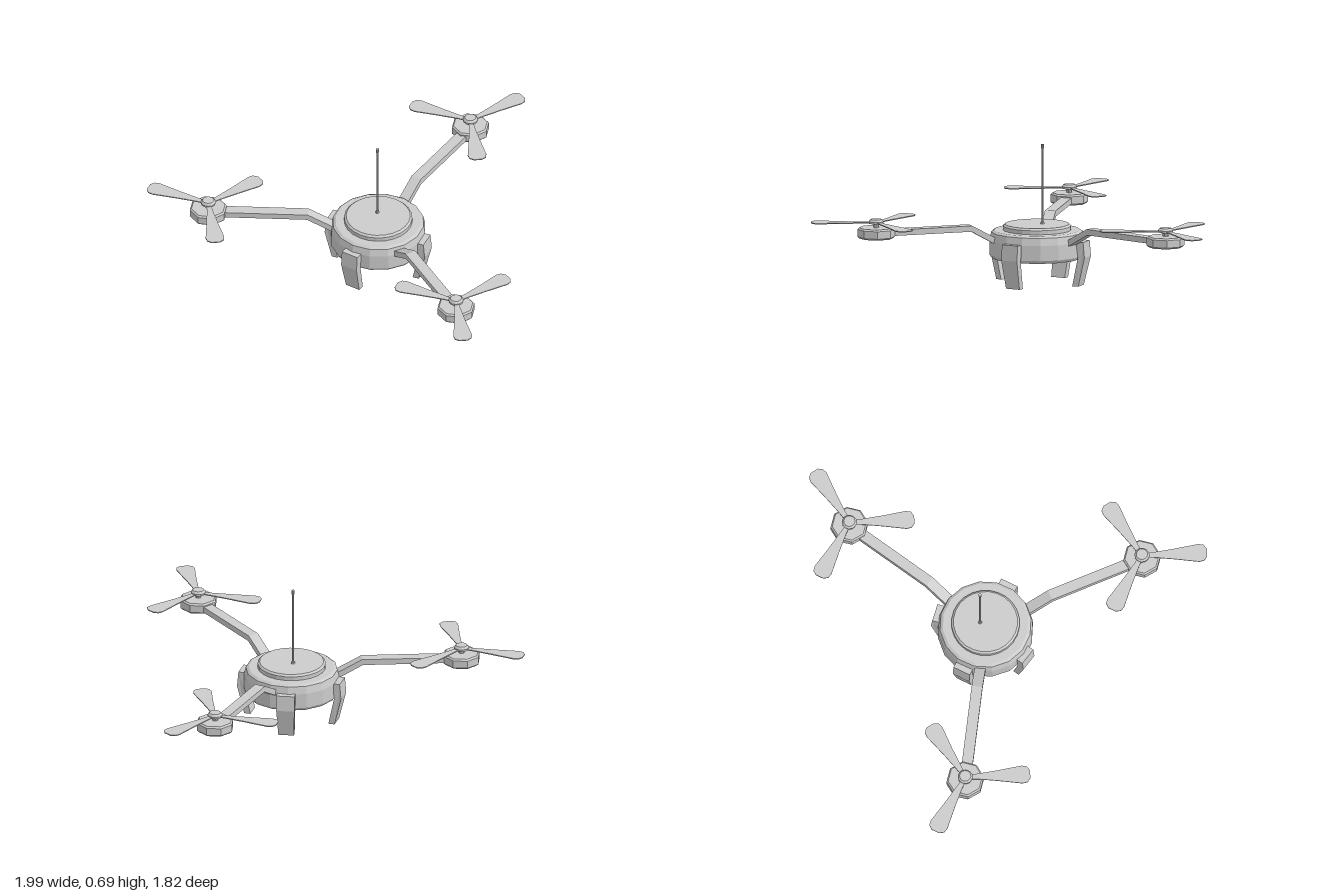
import * as THREE from 'three';

const material = new THREE.MeshStandardMaterial({ color: 0xcccccc, flatShading: true });
const rad = THREE.MathUtils.degToRad;

function part(name, geometry, parent) {
  const mesh = new THREE.Mesh(geometry, material);
  mesh.name = name;
  parent.add(mesh);
  return mesh;
}

// Turned solid from [radius, height] pairs, bottom to top
function turned(points, sides) {
  return new THREE.LatheGeometry(points.map(([r, y]) => new THREE.Vector2(r, y)), sides);
}

// Side profile of [distance outwards, height] pairs, given a width and pointing along +z
function strut(points, width) {
  const shape = new THREE.Shape(points.map(([r, y]) => new THREE.Vector2(r, y)));
  return new THREE.ExtrudeGeometry(shape, { depth: width, bevelEnabled: false })
    .translate(0, 0, -width / 2)
    .rotateY(-Math.PI / 2);
}

// Flat paddle blade pointing along +x, narrow at the hub and wide at the tip
function bladeGeometry() {
  const half = [[0, 0.01], [0.06, 0.014], [0.16, 0.027], [0.28, 0.046], [0.305, 0.041], [0.32, 0.02]];
  const outline = [...half, ...half.map(([x, y]) => [x, -y]).reverse()];
  const shape = new THREE.Shape(outline.map(([x, y]) => new THREE.Vector2(x, y)));
  return new THREE.ExtrudeGeometry(shape, { depth: 0.005, bevelEnabled: false })
    .rotateX(-Math.PI / 2);
}

// Leg that narrows towards the foot
function legGeometry() {
  const leg = strut([[0.2, 0], [0.232, 0], [0.267, 0.145], [0.26, 0.222], [0.222, 0.222], [0.232, 0.145]], 0.09);
  const p = leg.attributes.position;
  for (let i = 0; i < p.count; i++) {
    p.setX(i, p.getX(i) * (0.86 + 0.14 * Math.min(1, p.getY(i) / 0.145)));
  }
  return leg;
}

function createRotor(blade) {
  const rotor = new THREE.Group();
  rotor.name = 'rotor';
  part('motor', turned([[0, 0.267], [0.085, 0.267], [0.093, 0.275], [0.093, 0.312], [0.085, 0.32], [0, 0.32]], 8), rotor);
  part('shaft', new THREE.CylinderGeometry(0.014, 0.014, 0.03, 10).translate(0, 0.33, 0), rotor);
  part('hubCap', turned([[0, 0.34], [0.036, 0.34], [0.037, 0.35], [0.028, 0.361], [0, 0.361]], 12), rotor);
  for (let i = 0; i < 3; i++) {
    const mesh = part('blade', blade, rotor);
    mesh.position.y = 0.341;
    mesh.rotation.y = rad(69.5 + 120 * i);
  }
  return rotor;
}

export function createModel() {
  const model = new THREE.Group();
  model.name = 'tricopter';
  // Everything is laid out around the body axis
  const frame = new THREE.Group();
  frame.name = 'frame';
  frame.position.set(0.045, 0, 0.227);
  model.add(frame);

  // Body and lid
  part('body', turned([[0, 0.13], [0.225, 0.13], [0.235, 0.145], [0.235, 0.22], [0.226, 0.257], [0.212, 0.266], [0, 0.266]], 16), frame);
  part('lid', turned([[0.168, 0.26], [0.168, 0.286], [0.158, 0.295], [0, 0.295]], 24), frame);

  // Antenna with a small base and tip
  const antenna = new THREE.Group();
  antenna.name = 'antenna';
  antenna.position.set(-0.018, 0, -0.02);
  frame.add(antenna);
  part('antennaBase', new THREE.CylinderGeometry(0.008, 0.01, 0.012, 8).translate(0, 0.3, 0), antenna);
  part('antennaRod', new THREE.CylinderGeometry(0.005, 0.005, 0.385, 8).translate(0, 0.4825, 0), antenna);
  part('antennaTip', new THREE.CylinderGeometry(0.008, 0.008, 0.02, 8).translate(0, 0.68, 0), antenna);

  // Three cranked arms, each carrying a rotor
  const arm = strut([[0.2, 0.192], [0.24, 0.215], [0.35, 0.277], [0.8, 0.277], [0.8, 0.306], [0.345, 0.306], [0.24, 0.248], [0.2, 0.226]], 0.054);
  const blade = bladeGeometry();
  for (const angle of [60, 180, 300].map(rad)) {
    part('arm', arm, frame).rotation.y = angle;
    const rotor = createRotor(blade);
    rotor.position.set(Math.sin(angle) * 0.837, 0, Math.cos(angle) * 0.837);
    frame.add(rotor);
  }

  // Four legs around the body
  const leg = legGeometry();
  for (const angle of [0, 100, 200, 280]) part('leg', leg, frame).rotation.y = rad(angle);

  return model;
}
